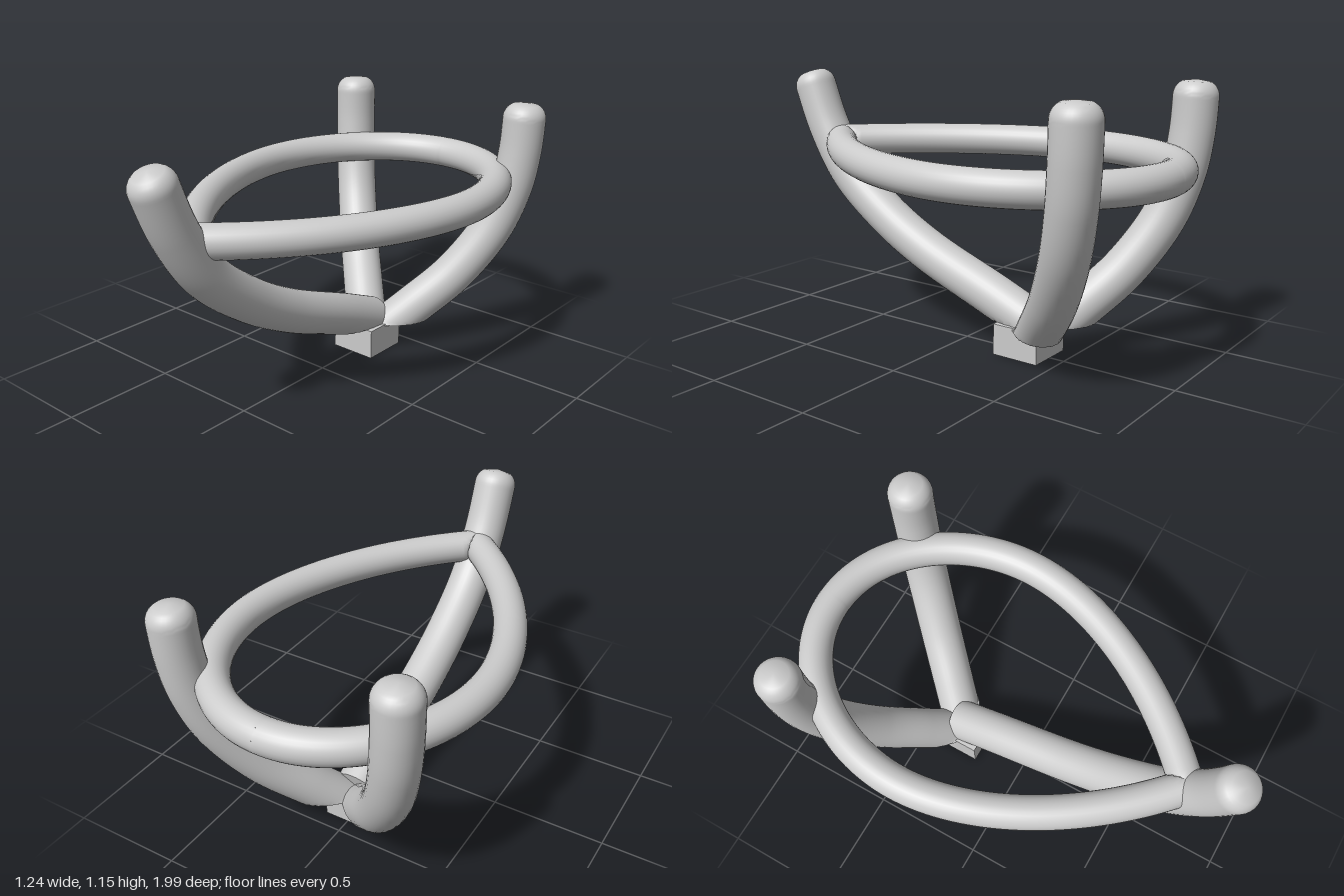
import * as THREE from 'three';
import { mergeVertices, toCreasedNormals } from 'three/addons/utils/BufferGeometryUtils.js';

const material = new THREE.MeshStandardMaterial({ color: 0xcccccc });
const v = (x, y, z) => new THREE.Vector3(x, y, z);

const BASE_TOP = 0.13;
const PRONG_R = 0.095;
const FILLET = 0.07;
const RING_R = 0.071;
const RING_Y = 0.818;

function addMesh(group, geometry, name) {
  const mesh = new THREE.Mesh(geometry, material);
  mesh.name = name;
  group.add(mesh);
  return mesh;
}

// Round bar along a path; rule(point, centre, row, rows, length) adjusts each vertex.
function bar(path, rows, radius, sides, rule) {
  const geo = new THREE.TubeGeometry(path, rows, radius, sides, false);
  const pos = geo.attributes.position;
  const length = path.getLength();
  const p = new THREE.Vector3();
  for (let i = 0; i <= rows; i++) {
    const centre = path.getPointAt(i / rows);
    for (let j = 0; j <= sides; j++) {
      const k = i * (sides + 1) + j;
      rule(p.fromBufferAttribute(pos, k), centre, i, rows, length);
      pos.setXYZ(k, p.x, p.y, p.z);
    }
  }
  geo.deleteAttribute('uv');
  geo.deleteAttribute('normal');
  return toCreasedNormals(mergeVertices(geo, 1e-5), 0.75);
}

// Prong: rounded tip, closed ends, underside cut flat at the top of the base.
function prong(points) {
  return bar(new THREE.CatmullRomCurve3(points), 150, PRONG_R, 32, (p, c, i, n, length) => {
    const d = length * (1 - i / n);
    let r = PRONG_R;
    if (d < FILLET) r = PRONG_R - FILLET + Math.sqrt(FILLET ** 2 - (FILLET - d) ** 2);
    if (i === 0 || i === n) r = 0;
    p.sub(c).multiplyScalar(r / PRONG_R).add(c);
    p.y = Math.max(p.y, BASE_TOP);
  });
}

// Half of the pear-shaped ring, mitred on the centre plane at the pointed tip.
function ringHalf() {
  const path = new THREE.CurvePath();
  const tip = v(0, RING_Y, 0.735);
  const handle = v(0.36, RING_Y, 0.42);
  const beyond = tip.clone().add(tip.clone().sub(handle).setLength(0.12));
  path.add(new THREE.CubicBezierCurve3(
    v(0, RING_Y, -0.93), v(0.31, RING_Y, -0.93), v(0.55, RING_Y, -0.62), v(0.55, RING_Y, -0.28)));
  path.add(new THREE.CubicBezierCurve3(
    v(0.55, RING_Y, -0.28), v(0.55, RING_Y, 0.02), handle, tip));
  path.add(new THREE.LineCurve3(tip, beyond));
  return bar(path, 120, RING_R, 28, (p) => { p.x = Math.max(p.x, 0); });
}

export function createModel() {
  const model = new THREE.Group();
  model.name = 'prongSetting';

  // Square base peg
  const base = addMesh(model, new THREE.BoxGeometry(0.215, 0.135, 0.215), 'base');
  base.position.set(0, 0.0675, -0.325);

  // Long front prong, as [z, y]
  const front = [[-0.36, 0.13], [-0.155, 0.215], [0.225, 0.365], [0.46, 0.495],
    [0.68, 0.67], [0.815, 0.87], [0.925, 1.13]];
  addMesh(model, prong(front.map(([z, y]) => v(0, y, z))), 'frontProng');

  // Back prongs, as [x, y], spreading at 45 degrees
  const back = [[0.05, 0.08], [0.146, 0.19], [0.28, 0.355], [0.395, 0.57],
    [0.45, 0.76], [0.472, 0.93], [0.48, 1.15]];
  for (const [side, name] of [[1, 'backProngLeft'], [-1, 'backProngRight']]) {
    addMesh(model, prong(back.map(([x, y]) => v(side * x, y, -0.335 - x))), name);
  }

  // Pear-shaped ring
  const ring = new THREE.Group();
  ring.name = 'pearRing';
  const half = ringHalf();
  addMesh(ring, half, 'ringLeftHalf');
  addMesh(ring, half, 'ringRightHalf').scale.x = -1;
  model.add(ring);

  return model;
}
